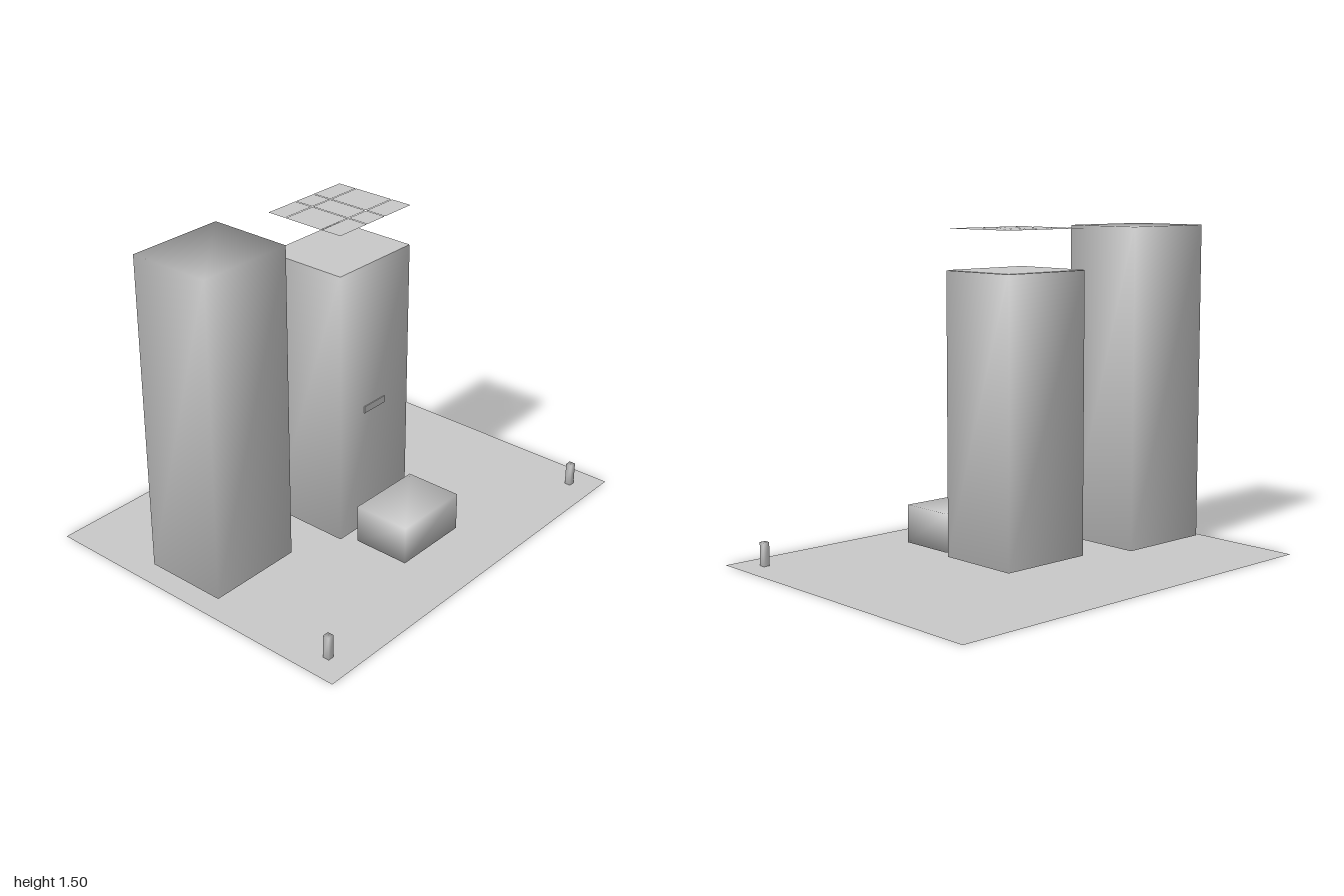
import * as THREE from 'three';
import { mergeVertices } from 'three/addons/utils/BufferGeometryUtils.js';

const concrete = new THREE.MeshStandardMaterial({ color: 0xc8c8c8, side: THREE.DoubleSide });
concrete.name = 'concrete grey';

// Box with shared corners, so its shading runs smoothly round the edges
function softBox(name, [x0, x1], [y0, y1], [z0, z1]) {
  const box = new THREE.BoxGeometry(x1 - x0, y1 - y0, z1 - z0);
  box.deleteAttribute('normal');
  box.deleteAttribute('uv');
  const geometry = mergeVertices(box);
  geometry.computeVertexNormals();
  const mesh = new THREE.Mesh(geometry, concrete);
  mesh.name = name;
  mesh.position.set((x0 + x1) / 2, (y0 + y1) / 2, (z0 + z1) / 2);
  return mesh;
}

// Flat horizontal sheet
function sheet(name, [x0, x1], y, [z0, z1]) {
  const geometry = new THREE.PlaneGeometry(x1 - x0, z1 - z0).rotateX(-Math.PI / 2);
  const mesh = new THREE.Mesh(geometry, concrete);
  mesh.name = name;
  mesh.position.set((x0 + x1) / 2, y, (z0 + z1) / 2);
  return mesh;
}

export function createModel() {
  const model = new THREE.Group();
  model.name = 'towerBlocks';

  // Ground
  model.add(sheet('ground', [-1, 1], 0, [-0.8, 0.8]));

  // Towers and low entrance block
  model.add(softBox('tallTower', [-0.91, -0.45], [0.02, 1.495], [-0.315, 0.08]));
  model.add(softBox('mainTower', [-0.23, 0.228], [0.02, 1.308], [-0.222, 0.178]));
  model.add(softBox('entranceBlock', [-0.188, 0.184], [0.02, 0.2], [0.242, 0.515]));

  // Flat roof of the main tower
  model.add(sheet('mainRoof', [-0.23, 0.228], 1.31, [-0.222, 0.178]));

  // Canopy of nine panels with fine seams, floating above the roof
  const canopy = new THREE.Group();
  canopy.name = 'canopy';
  const xs = [-0.23, -0.06, 0.056, 0.228];
  const zs = [-0.222, -0.126, 0.075, 0.178];
  const seam = 0.002;
  for (let i = 0; i < 3; i++) {
    for (let j = 0; j < 3; j++) {
      const x = [xs[i] + (i > 0 ? seam : 0), xs[i + 1] - (i < 2 ? seam : 0)];
      const z = [zs[j] + (j > 0 ? seam : 0), zs[j + 1] - (j < 2 ? seam : 0)];
      canopy.add(sheet('canopyPanel', x, 1.492, z));
    }
  }
  model.add(canopy);

  // Thin plate on the front wall
  const plate = new THREE.Mesh(new THREE.BoxGeometry(0.136, 0.032, 0.004), concrete);
  plate.name = 'wallPlate';
  plate.position.set(-0.003, 0.62, 0.18);
  model.add(plate);

  // Bollards at the front corners
  for (const x of [-0.88, 0.876]) {
    model.add(softBox('bollard', [x - 0.015, x + 0.015], [0, 0.108], [0.66, 0.69]));
  }
  return model;
}
